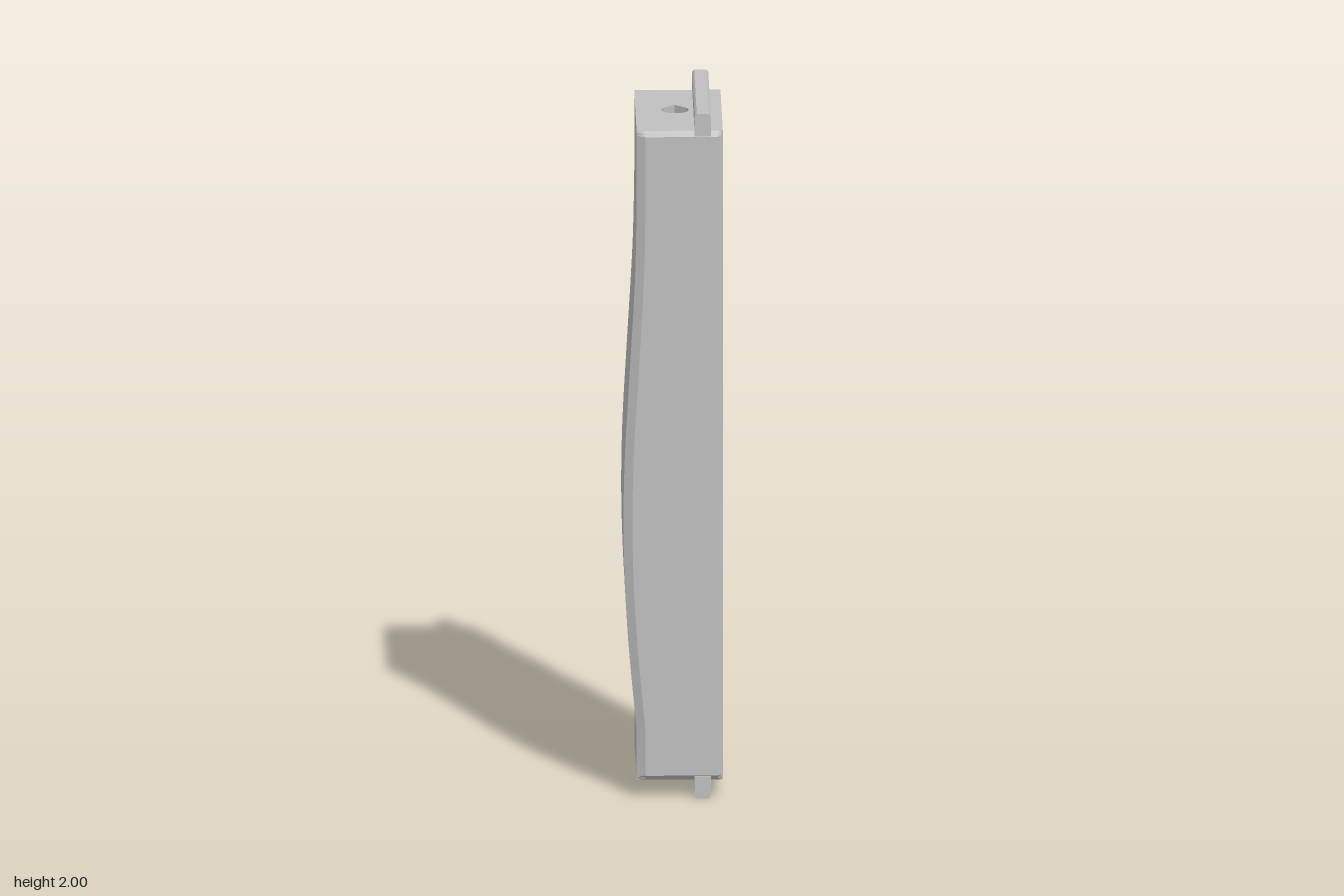
import * as THREE from 'three';
import { toCreasedNormals } from 'three/addons/utils/BufferGeometryUtils.js';

const Y0 = 0.052, Y1 = 1.948;              // body ends
const XR = 0.14, ZF = 0.253, ZB = -0.254;  // flat side, front, back
const C = 0.015, R = 0.032, N = 8;         // front chamfer, back fillet
const HOLE_X = 0.008, SLOT_Y = 1.836, SLOT_H = 0.078, SLOT_W = 0.122, SLOT_D = 0.185;

// Bulged grip edge: flat ends with a smooth swell between
const swell = new THREE.SplineCurve([[1.72, -0.104], [1.5, -0.109], [1.2, -0.126], [1, -0.137], [0.82, -0.141],
  [0.65, -0.138], [0.45, -0.127], [0.2, -0.104]].map(p => new THREE.Vector2(...p))).getPoints(42).reverse();

// Horizontal section, cut back near the ends by the chamfer and fillet
function section(x, y) {
  const e = Math.min(y - Y0, Y1 - y);
  const zf = Math.min(ZF, ZF - C + e);
  const h = Math.max(0, R - e);
  const zb = ZB + R - Math.sqrt(Math.max(0, R * R - h * h));
  const pts = [[XR, ZF - C], [XR - C, ZF], [x + 0.025, ZF], [x, ZF - C]];
  for (let i = 0; i <= N; i++) {
    const a = i / N * Math.PI / 2;
    pts.push([x + R - R * Math.cos(a), ZB + R - R * Math.sin(a)]);
  }
  for (let i = 0; i <= N; i++) {
    const a = i / N * Math.PI / 2;
    pts.push([XR - R + R * Math.sin(a), ZB + R - R * Math.cos(a)]);
  }
  return pts.map(([px, pz]) => [px, y, THREE.MathUtils.clamp(pz, zb, zf)]);
}

function shellGeometry() {
  const ends = [C];
  for (let i = 0; i <= N; i++) ends.push(R * (1 - Math.cos(i / N * Math.PI / 2)));
  ends.sort((a, b) => a - b);
  const rings = [
    ...ends.map(e => section(-0.104, Y0 + e)),
    ...swell.map(p => section(p.y, p.x)),
    ...ends.reverse().map(e => section(-0.104, Y1 - e)),
  ];
  const n = rings[0].length, index = [];
  for (let j = 0; j < rings.length - 1; j++) {
    for (let i = 0; i < n - 1; i++) {
      const a = j * n + i, b = a + n;
      index.push(a, b, a + 1, a + 1, b, b + 1);
    }
  }
  const g = new THREE.BufferGeometry();
  g.setAttribute('position', new THREE.Float32BufferAttribute(rings.flat(2), 3));
  g.setIndex(index);
  return toCreasedNormals(g, 0.4);
}

function rect(x0, y0, x1, y1, T = THREE.Shape) {
  return new T([[x0, y0], [x1, y0], [x1, y1], [x0, y1]].map(p => new THREE.Vector2(...p)));
}

// Teardrop outline in x and -z, pointing to the back
function dropPoints() {
  const r = 0.039, pts = [new THREE.Vector2(HOLE_X, r * Math.SQRT2)];
  for (let i = 0; i <= 24; i++) {
    const a = Math.PI * 0.75 + i / 24 * Math.PI * 1.5;
    pts.push(new THREE.Vector2(HOLE_X + r * Math.cos(a), r * Math.sin(a)));
  }
  return pts;
}

// Open wall following a closed outline between two heights
function wallGeometry(pts, y0, y1) {
  const pos = [], index = [];
  [...pts, pts[0]].forEach((p, i) => {
    pos.push(p.x, y0, -p.y, p.x, y1, -p.y);
    if (i) index.push(2 * i - 2, 2 * i - 1, 2 * i, 2 * i, 2 * i - 1, 2 * i + 1);
  });
  const g = new THREE.BufferGeometry();
  g.setAttribute('position', new THREE.Float32BufferAttribute(pos, 3));
  g.setIndex(index);
  return toCreasedNormals(g, 0.5);
}

export function createModel() {
  const model = new THREE.Group();
  const grey = new THREE.MeshStandardMaterial({ color: 0xbfbfbf, side: THREE.DoubleSide });
  grey.name = 'grey';
  const add = (name, g) => {
    const m = new THREE.Mesh(g, grey);
    m.name = name;
    model.add(m);
    return m;
  };

  add('bodyShell', shellGeometry());

  // Flat mounting face with two slot openings
  const face = rect(-(ZF - C), Y0, -(ZB + R), Y1);
  for (const y of [SLOT_Y, 2 - SLOT_Y]) {
    face.holes.push(rect(-SLOT_W / 2, y - SLOT_H / 2, SLOT_W / 2, y + SLOT_H / 2, THREE.Path));
  }
  add('mountingFace', new THREE.ShapeGeometry(face).rotateY(Math.PI / 2).translate(XR, 0, 0));

  // Rail outline with small chamfers on its outer edge
  const rail = new THREE.Shape([[0.06, 1.935], [0.106, 1.935], [0.106, 1.993], [0.1, 2], [0.066, 2], [0.06, 1.993]]
    .map(p => new THREE.Vector2(...p)));

  for (const top of [true, false]) {
    const side = top ? 'top' : 'bottom';
    const at = y => top ? y : 2 - y;

    // End face with a teardrop hole
    const cap = rect(-0.104, -(ZF - C), XR, -(ZB + R));
    cap.holes.push(new THREE.Path(dropPoints()));
    const capGeo = new THREE.ShapeGeometry(cap);
    if (!top) {
      const ix = capGeo.index.array;
      for (let i = 0; i < ix.length; i += 3) [ix[i], ix[i + 1]] = [ix[i + 1], ix[i]];
      capGeo.computeVertexNormals();
    }
    add(side + 'EndFace', capGeo.rotateX(-Math.PI / 2).translate(0, at(Y1), 0));
    add(side + 'ScrewHole', wallGeometry(dropPoints(), at(SLOT_Y + SLOT_H / 2), at(Y1)));

    // Nut slot: a box without its outer face, turned inside out
    const slot = new THREE.BoxGeometry(SLOT_D, SLOT_H, SLOT_W);
    slot.setIndex([...slot.index.array].slice(6).reverse());
    slot.clearGroups();
    slot.computeVertexNormals();
    add(side + 'NutSlot', slot).position.set(XR - SLOT_D / 2, at(SLOT_Y), 0);

    // Locating rail
    const railGeo = new THREE.ExtrudeGeometry(rail, { depth: ZF - ZB, bevelEnabled: false }).translate(0, 0, ZB);
    if (!top) railGeo.translate(-0.083, -1, 0).rotateZ(Math.PI).translate(0.083, 1, 0);
    add(side + 'Rail', railGeo);
  }
  return model;
}
